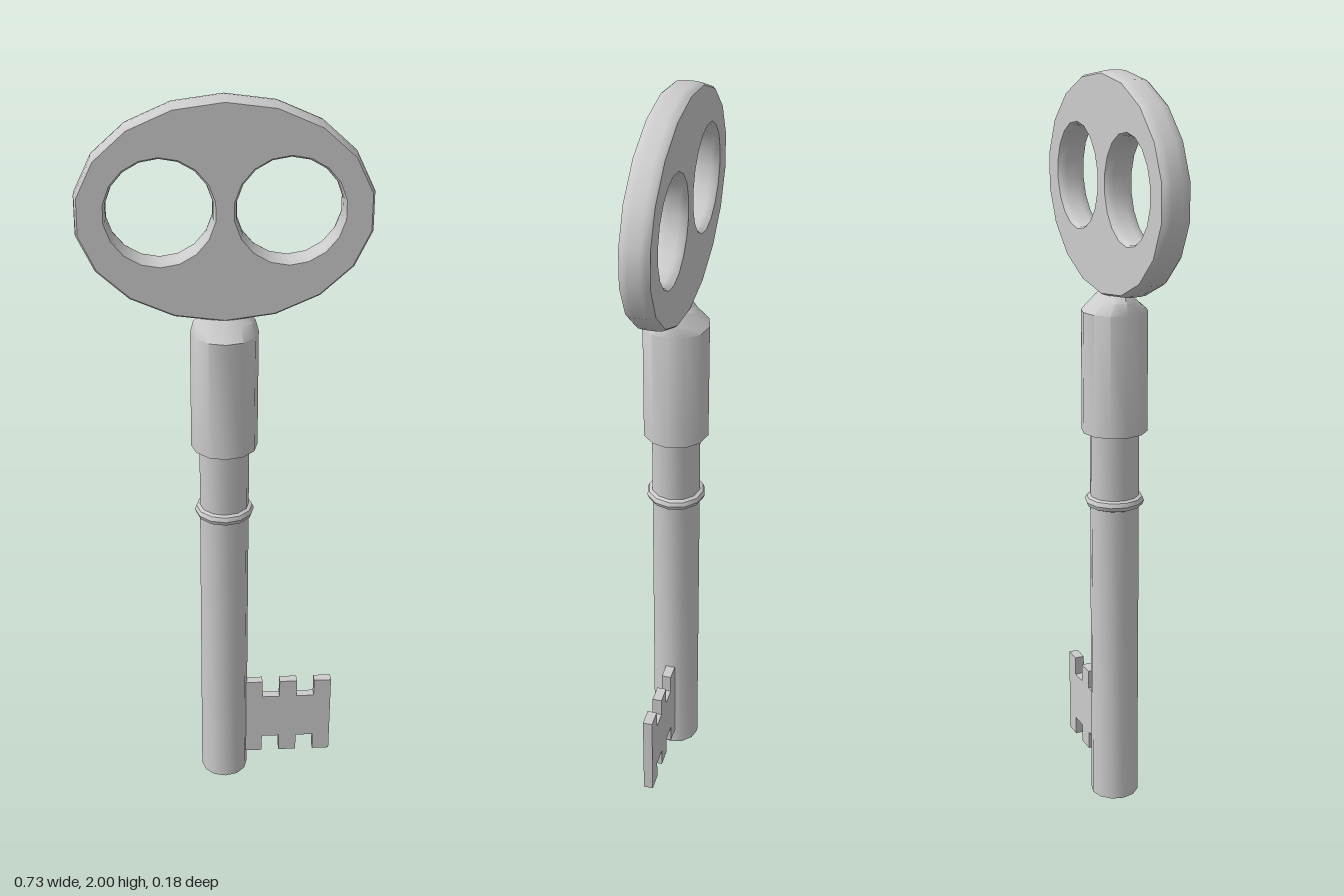
import * as THREE from 'three';
import { toCreasedNormals } from 'three/addons/utils/BufferGeometryUtils.js';

const SIDES = 12;
const v2 = (x, y) => new THREE.Vector2(x, y);

export function createModel() {
  const key = new THREE.Group();
  key.name = 'key';
  const material = new THREE.MeshStandardMaterial({ color: 0xcccccc });

  function add(name, geometry) {
    const mesh = new THREE.Mesh(toCreasedNormals(geometry, 0.7), material);
    mesh.name = name;
    key.add(mesh);
  }

  const lathe = (points) => new THREE.LatheGeometry(points.map(([r, y]) => v2(r, y)), SIDES);

  // Points of an ellipse with a vertex at the top
  const oval = (cx, cy, rx, ry, n) =>
    Array.from({ length: n }, (_, i) => {
      const a = Math.PI / 2 + (i / n) * Math.PI * 2;
      return v2(cx + rx * Math.cos(a), cy + ry * Math.sin(a));
    });

  // Bow: oval plate with two round holes and a slightly crowned rim
  const bowShape = new THREE.Shape(oval(0, 1.717, 0.373, 0.283, 18));
  for (const side of [-1, 1]) {
    bowShape.holes.push(new THREE.Path(oval(side * 0.16, 1.724, 0.132, 0.132, 18).reverse()));
  }
  const bow = new THREE.ExtrudeGeometry(bowShape, {
    depth: 0.03,
    bevelEnabled: true,
    bevelThickness: 0.022,
    bevelSize: 0.007,
    bevelOffset: -0.007,
    bevelSegments: 2,
  });
  bow.translate(0, 0, -0.015);
  add('bow', bow);

  // Collar: cylinder whose shoulder narrows towards the thin bow
  const collar = lathe([[0, 1.07], [0.088, 1.07], [0.088, 1.395], [0.08, 1.425], [0.066, 1.443], [0, 1.443]]);
  const p = collar.attributes.position;
  for (let i = 0; i < p.count; i++) {
    const y = p.getY(i);
    if (y > 1.4) p.setZ(i, p.getZ(i) * (y > 1.43 ? 0.47 : 0.66));
  }
  add('collar', collar);

  // Shaft with a bored lower end
  add('shaft', lathe([[0, 0.25], [0.045, 0.25], [0.045, 0], [0.066, 0], [0.066, 1.09]]));

  // Ring around the shaft
  const ring = new THREE.TorusGeometry(0.064, 0.016, 8, SIDES);
  ring.rotateX(Math.PI / 2);
  ring.rotateY(Math.PI / 2);
  ring.translate(0, 0.875, 0);
  add('ring', ring);

  // Bit: plate with two notches in both its top and bottom edges
  const steps = [0.04, 0.11, 0.16, 0.21, 0.26, 0.309];
  const edge = (tooth, notch) =>
    steps.slice(0, 5).flatMap((x, i) => {
      const y = i % 2 ? notch : tooth;
      return [v2(x, y), v2(steps[i + 1], y)];
    });
  const bitShape = new THREE.Shape([...edge(0.048, 0.1), ...edge(0.296, 0.243).reverse()]);
  const bit = new THREE.ExtrudeGeometry(bitShape, { depth: 0.026, bevelEnabled: false });
  bit.translate(0, 0, -0.013);
  add('bit', bit);

  return key;
}
